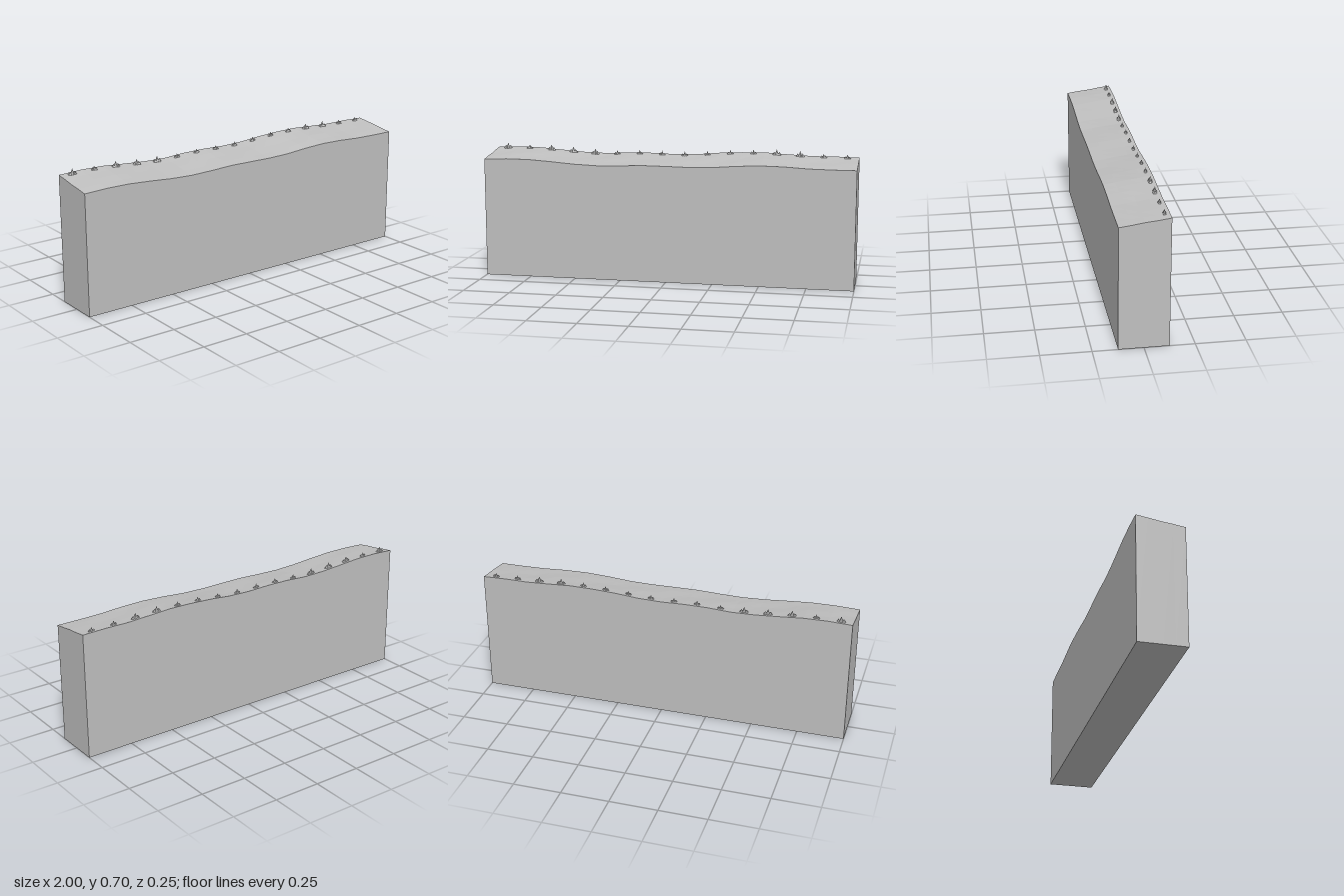
import * as THREE from 'three';

// Heights of the ridge line at the front and back edges, every 0.125 along x
const FRONT = [0.64, 0.645, 0.644, 0.636, 0.626, 0.621, 0.624, 0.629, 0.628, 0.626, 0.629, 0.639, 0.645, 0.643, 0.636, 0.634, 0.634];
const BACK = [0.675, 0.68, 0.678, 0.668, 0.659, 0.656, 0.663, 0.664, 0.66, 0.663, 0.674, 0.68, 0.682, 0.675, 0.669, 0.67, 0.667];
const DEPTH = 0.25;

function sample(list, x) {
  const t = THREE.MathUtils.clamp((x + 1) * 8, 0, 16);
  const i = Math.min(15, Math.floor(t));
  return THREE.MathUtils.lerp(list[i], list[i + 1], t - i);
}

// Ground height: slopes up to the back with a faint ripple in between
function groundHeight(x, z) {
  const t = 0.5 - z / DEPTH;
  const ripple = 0.0015 * Math.sin(x * 14 + z * 30) * Math.sin(Math.PI * t);
  return THREE.MathUtils.lerp(sample(FRONT, x), sample(BACK, x), t) + ripple;
}

export function createModel() {
  const group = new THREE.Group();
  const stone = new THREE.MeshStandardMaterial({ color: 0xbfbfbf });
  stone.name = 'grey';
  stone.flatShading = true;

  // Block with an uneven, sloping top
  const geometry = new THREE.BoxGeometry(2, 1, DEPTH, 32, 1, 4);
  const pos = geometry.attributes.position;
  for (let i = 0; i < pos.count; i++) {
    pos.setY(i, pos.getY(i) > 0 ? groundHeight(pos.getX(i), pos.getZ(i)) : 0);
  }
  geometry.computeVertexNormals();
  const block = new THREE.Mesh(geometry, stone);
  block.name = 'groundBlock';
  group.add(block);

  // Row of small tufts near the back edge: a tall spike with lower ones beside it
  const spike = new THREE.ConeGeometry(1, 1, 5).translate(0, 0.5, 0);
  const large = [0, 2, 3, 4, 12, 13];
  for (let i = 0; i < 16; i++) {
    const x = -0.9375 + i * 0.125;
    const z = -0.1;
    const tuft = new THREE.Group();
    tuft.name = 'tuft' + (i + 1);
    tuft.position.set(x, groundHeight(x, z) - 0.004, z);
    tuft.scale.setScalar(large.includes(i) ? 1.1 : 0.85);
    for (const side of [-1, 0, 1]) {
      const blade = new THREE.Mesh(spike, stone);
      blade.name = side ? 'sideSpike' : 'middleSpike';
      blade.position.x = side * 0.012;
      blade.rotation.y = i * 0.7 + side;
      blade.scale.set(0.012, side ? 0.018 : 0.03, 0.012);
      tuft.add(blade);
    }
    group.add(tuft);
  }
  return group;
}
